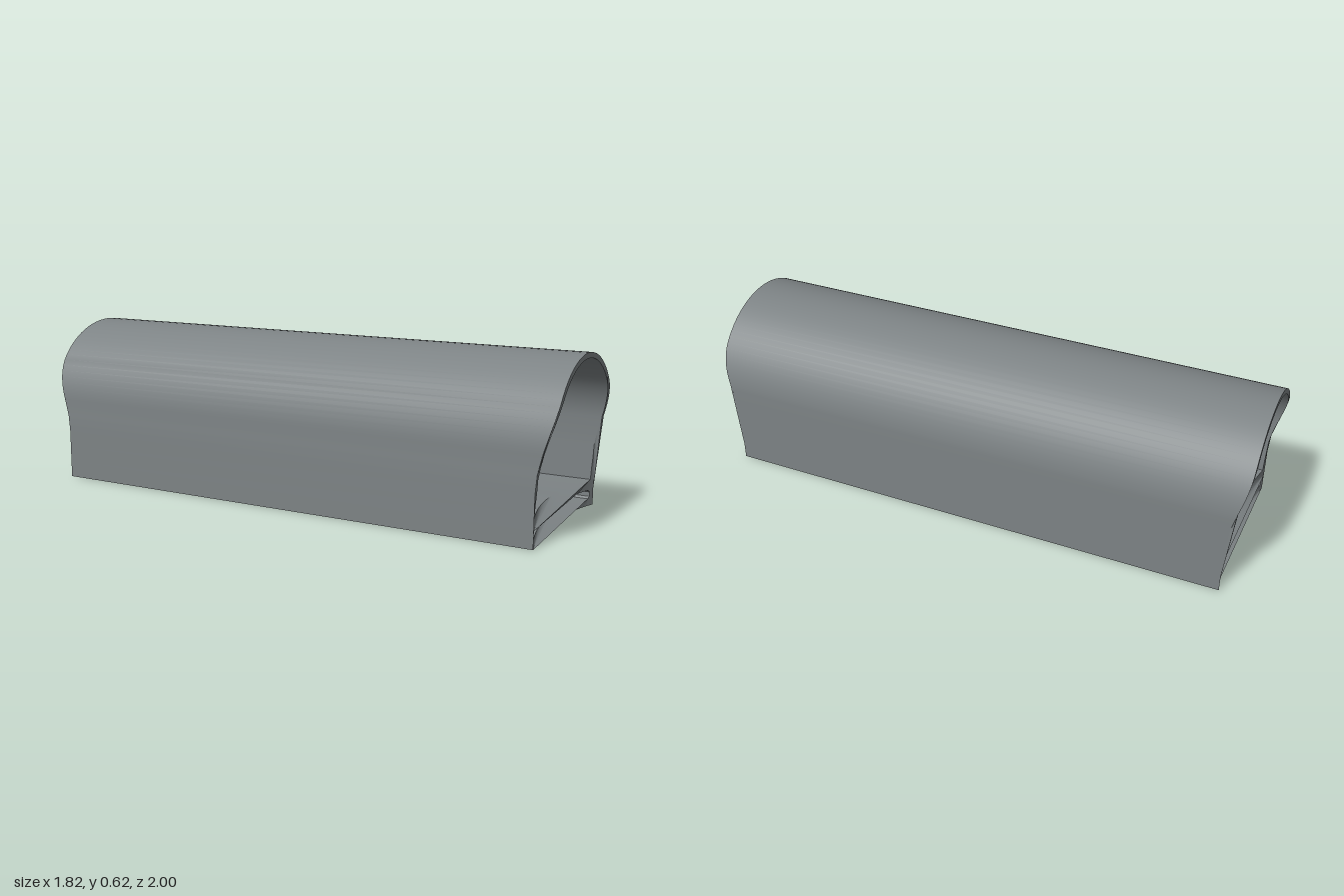
import * as THREE from 'three';
import { toCreasedNormals } from 'three/addons/utils/BufferGeometryUtils.js';

// Tunnel outline: flat base, straight walls, elliptical arch
function outline(w, y0, spring, top) {
  const pts = [];
  for (let i = 0; i <= 16; i++) pts.push(new THREE.Vector2(-w + (2 * w * i) / 16, y0));
  for (let i = 1; i < 5; i++) pts.push(new THREE.Vector2(w, y0 + ((spring - y0) * i) / 5));
  for (let i = 0; i <= 40; i++) {
    const a = (Math.PI * i) / 40;
    pts.push(new THREE.Vector2(w * Math.cos(a), spring + (top - spring) * Math.sin(a)));
  }
  for (let i = 4; i > 0; i--) pts.push(new THREE.Vector2(-w, y0 + ((spring - y0) * i) / 5));
  return pts;
}

// Long slot through the floor slab
function slot(w, y0, y1) {
  const pts = [];
  const c = 0.008;
  for (let i = 0; i <= 16; i++) pts.push(new THREE.Vector2((w - c) * (i / 8 - 1), y0));
  pts.push(new THREE.Vector2(w, y0 + c), new THREE.Vector2(w, y1 - c));
  for (let i = 16; i >= 0; i--) pts.push(new THREE.Vector2((w - c) * (i / 8 - 1), y1));
  pts.push(new THREE.Vector2(-w, y1 - c), new THREE.Vector2(-w, y0 + c));
  return pts;
}

// Half length at a point of the section: the roof overhangs, the floor is cut back in a curve
function halfLength(x, y, dip) {
  const roof = THREE.MathUtils.smoothstep(y, 0.2, 0.5);
  const floor = 1 - THREE.MathUtils.smoothstep(y, 0.1, 0.2);
  return 0.997 + 0.058 * roof - dip * floor * (1 - (x / 0.325) ** 2);
}

export function createModel() {
  const group = new THREE.Group();
  group.name = 'tunnel';
  const grey = new THREE.MeshStandardMaterial({ color: 0x7d8385 });
  grey.name = 'grey';

  const shape = new THREE.Shape(outline(0.325, 0, 0.32, 0.62));
  shape.holes.push(new THREE.Path(outline(0.305, 0.1, 0.32, 0.6)));
  shape.holes.push(new THREE.Path(slot(0.303, 0.027, 0.06)));

  const geo = new THREE.ExtrudeGeometry(shape, { depth: 2, steps: 1, bevelEnabled: false });
  geo.translate(0, 0, -1);

  // Bend both ends
  const p = geo.attributes.position;
  for (let i = 0; i < p.count; i++) {
    const front = p.getZ(i) > 0;
    const h = halfLength(p.getX(i), p.getY(i), front ? 0.055 : 0.035);
    p.setZ(i, front ? h : -h);
  }

  const shell = new THREE.Mesh(toCreasedNormals(geo, 0.6), grey);
  shell.name = 'tunnelShell';
  shell.rotation.y = 0.696;
  group.add(shell);
  return group;
}
